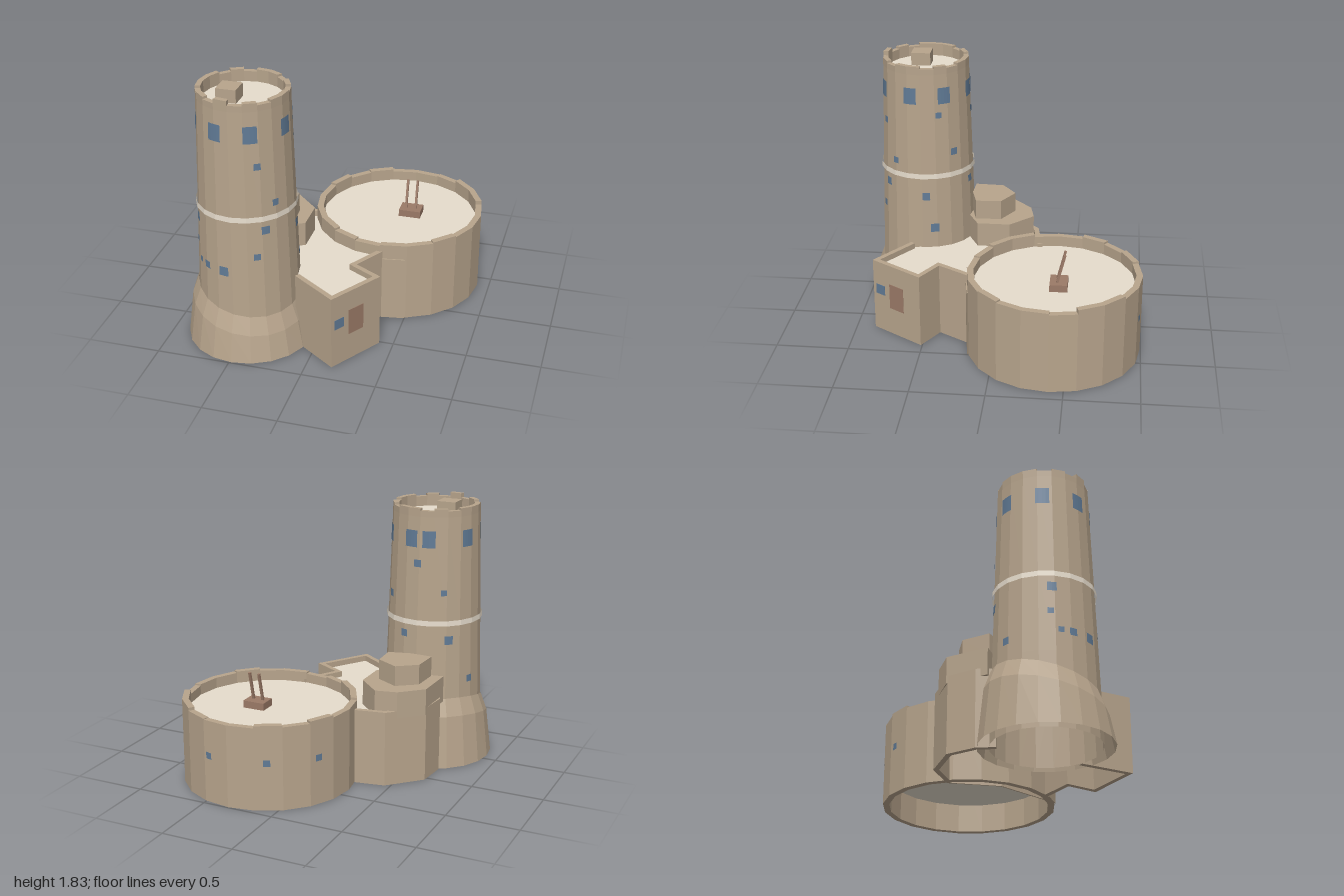
import * as THREE from 'three';

const mat = (name, color) => new THREE.MeshStandardMaterial({ name, color, flatShading: true, side: THREE.DoubleSide });
const stone = mat('stone', 0xb7a48c);
const paleDeck = mat('pale deck', 0xe6dccc);
const glass = mat('window blue', 0x607a95);
const timber = mat('brown door', 0x9b7a67);

const TOWER = [-0.485, 0.565], DRUM = [0.322, -0.4], DRUM_R = 0.594;
const rad = THREE.MathUtils.degToRad;
const towerRadius = (y) => 0.353 - 0.029 * y;

export function createModel() {
  const model = new THREE.Group();
  model.name = 'fortress';

  const add = (name, geometry, material, parent = model) => {
    const mesh = new THREE.Mesh(geometry, material);
    mesh.name = name;
    parent.add(mesh);
    return mesh;
  };
  const group = (name, x = 0, z = 0) => {
    const g = new THREE.Group();
    g.name = name;
    g.position.set(x, 0, z);
    model.add(g);
    return g;
  };
  // upright prism over a plan outline of [x, z] points
  const prism = (pts, y0, y1) => {
    const shape = new THREE.Shape(pts.map(([x, z]) => new THREE.Vector2(x, -z)));
    return new THREE.ExtrudeGeometry(shape, { depth: y1 - y0, bevelEnabled: false })
      .rotateX(-Math.PI / 2).translate(0, y0, 0);
  };
  const polar = (r, a) => [r * Math.sin(a), r * Math.cos(a)];
  // ring of wall pieces with uneven tops
  const ring = (name, parent, rOut, rIn, y0, tops) => {
    const step = (Math.PI * 2) / tops.length;
    tops.forEach((top, i) => {
      const a = i * step, b = a + step;
      add(name, prism([polar(rOut, a), polar(rOut, b), polar(rIn, b), polar(rIn, a)], y0, top), stone, parent);
    });
  };
  // curved pane hugging a round wall, angle measured from the front towards +x
  const pane = (parent, radiusAt, deg, y, w, h) => {
    const arc = w / radiusAt(y);
    add('window', new THREE.CylinderGeometry(radiusAt(y + h / 2) + 0.002, radiusAt(y - h / 2) + 0.002, h, 4, 1, true,
      rad(deg) - arc / 2, arc).translate(0, y, 0), glass, parent);
  };

  // Tall tower
  const tower = group('tower', ...TOWER);
  add('towerShaft', new THREE.LatheGeometry(
    [0, 0.5, 1.03, 1.76].map((y) => new THREE.Vector2(towerRadius(y), y)), 20), stone, tower);
  add('towerDeck', new THREE.CylinderGeometry(0.285, 0.285, 0.02, 20).translate(0, 1.72, 0), paleDeck, tower);
  add('roofHatch', new THREE.BoxGeometry(0.135, 0.095, 0.135).translate(-0.078, 1.772, 0.04), stone, tower);
  ring('towerParapet', tower, 0.302, 0.266, 1.71, [1.8, 1.815, 1.8, 1.815, 1.815, 1.8, 1.815, 1.8, 1.815, 1.815,
    1.8, 1.815, 1.8, 1.815, 1.815, 1.815, 1.8, 1.815, 1.8, 1.83]);
  add('towerBand', new THREE.CylinderGeometry(0.334, 0.336, 0.036, 20, 1, true).translate(0, 1.027, 0), paleDeck, tower);

  // Flared foot, its shoulder rising towards the back left
  const foot = new THREE.LatheGeometry(
    [[0.428, 0], [0.39, 1], [0.345, 2]].map(([r, y]) => new THREE.Vector2(r, y)), 20);
  const pos = foot.attributes.position;
  for (let i = 0; i < pos.count; i++) {
    const a = Math.atan2(pos.getX(i), pos.getZ(i)), level = Math.round(pos.getY(i));
    const join = 0.395 - 0.06 * Math.sin(a) - 0.07 * Math.cos(a);
    pos.setY(i, level === 0 ? 0 : level === 1 ? join - 0.12 : join);
  }
  add('towerFoot', foot, stone, tower);

  // Tower windows: the upper gallery, then scattered small ones [angle, y, size]
  [-66, -18, 26, 76, 121, 168, 192, 245].forEach((a) => pane(tower, towerRadius, a, 1.607, 0.09, 0.115));
  [[33, 1.39, 0.045], [54, 1.12, 0.045], [113, 1.47, 0.042], [133, 1.19, 0.05], [178, 1.44, 0.05],
    [212, 1.24, 0.04], [-57, 0.94, 0.06], [40, 0.94, 0.055], [95, 0.875, 0.055], [162, 0.94, 0.05],
    [219, 0.905, 0.06], [105, 0.635, 0.062], [249, 0.61, 0.05], [-59, 0.77, 0.04], [29, 0.755, 0.045],
    [-48, 0.645, 0.038], [-34, 0.642, 0.05], [-10, 0.638, 0.065],
  ].forEach(([a, y, s]) => pane(tower, towerRadius, a, y, s, s));

  // Wide round drum, open below its raised floor
  const drum = group('drum', ...DRUM);
  add('drumDeck', new THREE.CylinderGeometry(0.555, 0.555, 0.3, 20).translate(0, 0.35, 0), paleDeck, drum);
  ring('drumWall', drum, DRUM_R, 0.55, 0, [0.575, 0.575, 0.585, 0.575, 0.575, 0.565, 0.595, 0.595, 0.575, 0.57,
    0.57, 0.585, 0.575, 0.59, 0.575, 0.575, 0.59, 0.59, 0.575, 0.565]);
  [166, 206, 240].forEach((a) => pane(drum, () => DRUM_R, a, 0.33, 0.045, 0.045));

  // Twin-barrelled mount on the drum
  const mount = group('mount', 0.4, -0.435);
  add('mountBase', new THREE.BoxGeometry(0.155, 0.05, 0.12).translate(0, 0.525, 0), timber, mount);
  for (const x of [-0.035, 0.035]) {
    const barrel = add('barrel', new THREE.BoxGeometry(0.016, 0.22, 0.016), timber, mount);
    barrel.position.set(x, 0.643, -0.013);
    barrel.rotation.x = -0.24;
  }

  // Courtyard walls between tower and drum, the last run passing under the drum
  const court = group('courtyard');
  const gateSide = [[-0.14, 0.65], [0.17, 0.87], [0.405, 0.51], [0.215, 0.4], [0.36, 0.16]];
  const rearSide = [[-0.2, -0.285], [-0.46, -0.24], [-0.67, -0.03], [-0.69, 0.18], [-0.64, 0.3]];
  const hiddenSide = [[0.34, 0.2], [0.5, 0.175], [0.02, 0], [-0.2, -0.285]];
  const inset = (pts, d) => pts.map(([x, z], i) => {
    const normal = (p, q) => new THREE.Vector2(q[1] - p[1], p[0] - q[0]).normalize();
    const n1 = normal(pts[Math.max(i - 1, 0)], pts[Math.max(i, 1)]);
    const n2 = normal(pts[Math.min(i, pts.length - 2)], pts[Math.min(i + 1, pts.length - 1)]);
    const m = n1.clone().add(n2).multiplyScalar(d / (1 + n1.dot(n2)));
    return [x + m.x, z + m.y];
  });
  for (const [side, top, thick] of [[gateSide, 0.525, 0.035], [rearSide, 0.525, 0.035], [hiddenSide, 0.47, 0.01]]) {
    const inner = inset(side, thick);
    for (let i = 0; i < side.length - 1; i++) {
      add('courtWall', prism([side[i], side[i + 1], inner[i + 1], inner[i]], 0, top), stone, court);
    }
  }
  add('courtDeck', prism([...inset(gateSide, 0.01), ...inset(rearSide, 0.01),
    [-0.49, 0.25], [-0.3, 0.3], [-0.19, 0.43]], 0.47, 0.485), paleDeck, court);

  // Stepped house behind the tower
  add('houseLower', prism([[-0.67, -0.04], [-0.52, -0.18], [-0.37, -0.21], [-0.21, -0.05], [-0.21, 0.18],
    [-0.35, 0.25], [-0.49, 0.23], [-0.68, 0.26]], 0.475, 0.66), stone, court);
  add('houseUpper', prism([[-0.59, 0.03], [-0.455, -0.07], [-0.3, 0.02], [-0.29, 0.2], [-0.45, 0.24],
    [-0.6, 0.23]], 0.65, 0.8), stone, court);

  // Gate face: door and window plates
  const onGate = (name, t, y, w, h, material) => {
    const plate = add(name, new THREE.BoxGeometry(w, h, 0.006), material, court);
    plate.position.set(0.17 + 0.235 * t, y, 0.87 - 0.36 * t);
    plate.rotation.y = Math.atan2(0.36, 0.235);
  };
  onGate('gateDoor', 0.5, 0.29, 0.127, 0.185, timber);
  onGate('gateWindow', 0.155, 0.315, 0.08, 0.072, glass);

  return model;
}
